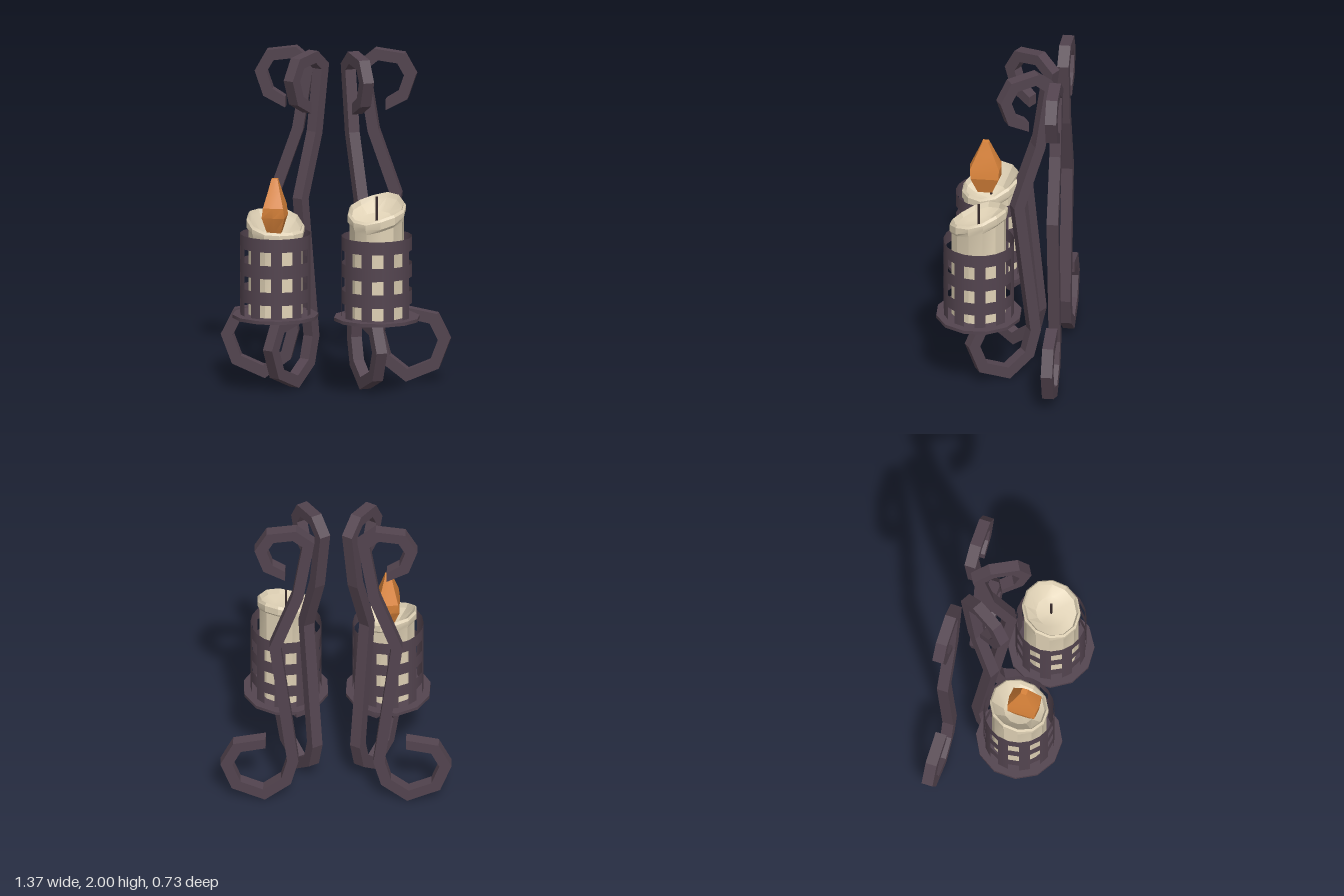
import * as THREE from 'three';
import { toCreasedNormals } from 'three/addons/utils/BufferGeometryUtils.js';

const mat = (name, color, extra = {}) => {
  const m = new THREE.MeshStandardMaterial({ color, ...extra });
  m.name = name;
  return m;
};

// Skin between closed rings of points, each ring counter-clockwise from above
function loft(rings) {
  const n = rings[0].length, index = [];
  for (let r = 0; r < rings.length - 1; r++) {
    for (let i = 0; i < n; i++) {
      const a = r * n + i, b = r * n + (i + 1) % n;
      index.push(a, b, b + n, a, b + n, a + n);
    }
  }
  const g = new THREE.BufferGeometry();
  g.setAttribute('position', new THREE.Float32BufferAttribute(rings.flat(2), 3));
  g.setIndex(index);
  return toCreasedNormals(g, 0.4);
}

// Flat bar bent along a polyline: mitred outline, then extruded
function scrollGeometry() {
  const pts = [
    [0.17, 1.668], [0.272, 1.725], [0.315, 1.85], [0.26, 1.948], [0.115, 1.968], [0.033, 1.9],
    [0.095, 1.51], [0.23, 1.13], [0.125, 0.29], [0.165, 0.14],
    [0.295, 0.04], [0.46, 0.11], [0.517, 0.26], [0.455, 0.385], [0.285, 0.418],
  ].map(p => new THREE.Vector2(...p));
  const half = 0.033, last = pts.length - 1, left = [], right = [];
  const normal = i => {
    const d = pts[i + 1].clone().sub(pts[i]).normalize();
    return new THREE.Vector2(-d.y, d.x);
  };
  pts.forEach((p, i) => {
    let off;
    if (i === 0) off = new THREE.Vector2(0, half);
    else if (i === last) off = new THREE.Vector2(0, -half);
    else {
      const a = normal(i - 1), m = a.clone().add(normal(i)).normalize();
      off = m.multiplyScalar(half / m.dot(a));
    }
    left.push(p.clone().add(off));
    right.push(p.clone().sub(off));
  });
  const g = new THREE.ExtrudeGeometry(new THREE.Shape([...left, ...right.reverse()]),
    { depth: 0.068, bevelEnabled: false });
  return g.translate(0, 0, -0.034);
}

// Wax column with an uneven rim and a melted bowl
function candleGeometry(rim) {
  const n = 12;
  const ring = (r, yOf) => Array.from({ length: n }, (_, i) => {
    const a = (i + 0.5) / n * Math.PI * 2;
    return [r * Math.sin(a), yOf(a), r * Math.cos(a)];
  });
  return loft([
    ring(0.162, () => 0.475),
    ring(0.162, a => rim(a) - 0.075),
    ring(0.174, a => rim(a) - 0.05 - 0.012 * Math.sin(3 * a)),
    ring(0.174, a => rim(a) - 0.015),
    ring(0.163, rim),
    ring(0.15, a => rim(a) - 0.03),
    ring(0.09, a => 0.35 * rim(a) + 0.65 * rim(Math.PI / 2) - 0.07),
    ring(0, () => rim(Math.PI / 2) - 0.09),
  ]);
}

// Faceted flame, boxy in plan
function flameGeometry() {
  const plan = [[0, 1.05], [1, 0.95], [1, -0.95], [0, -1.05], [-1, -0.95], [-1, 0.95]];
  const levels = [
    [0.97, 0, 0], [0.97, 0.04, 0.045], [1.07, 0.068, 0.088], [1.13, 0.06, 0.09],
    [1.22, 0.036, 0.05], [1.295, 0.018, 0.018], [1.295, 0, 0],
  ];
  return loft(levels.map(([y, rx, rz]) => plan.map(([x, z]) => [x * rx, y, z * rz])));
}

export function createModel() {
  const model = new THREE.Group();
  model.name = 'candleSconcePair';
  const iron = mat('darkIron', 0x53444f);
  const sheet = mat('piercedIron', 0x53444f, { side: THREE.DoubleSide });
  sheet.color = iron.color;
  const wax = mat('wax', 0xe0d2b6);
  const flameMat = mat('flameOrange', 0xd9833a);
  const wickMat = mat('wick', 0x35282a);

  const add = (parent, name, geo, material, x = 0, y = 0, z = 0, ry = 0) => {
    const m = new THREE.Mesh(geo, material);
    m.name = name;
    m.position.set(x, y, z);
    m.rotation.y = ry;
    parent.add(m);
    return m;
  };

  const scroll = scrollGeometry();
  const deg = Math.PI / 180;

  for (const side of [-1, 1]) {
    const sconce = new THREE.Group();
    sconce.name = side > 0 ? 'leftSconce' : 'rightSconce';
    model.add(sconce);

    // Wrought scrolls: one along the wall, one reaching forward
    add(sconce, 'wallScroll', scroll, iron, side * 0.13, 0, -0.335, side > 0 ? 0 : Math.PI);
    add(sconce, 'frontScroll', scroll, iron, side * 0.065, 0, -0.3, (side > 0 ? -60 : -120) * deg);

    const holder = new THREE.Group();
    holder.name = 'candleHolder';
    holder.position.set(side * 0.302, 0, 0.113);
    sconce.add(holder);

    // Drip plate
    add(holder, 'plate', new THREE.CylinderGeometry(0.256, 0.256, 0.02, 12), iron,
      0, 0.465, 0, (15 + side * 2) * deg);

    // Pierced cup: three solid bands with posts between the windows
    for (const y of [0.6, 0.76, 0.92]) {
      add(holder, 'cupBand', new THREE.CylinderGeometry(0.21, 0.21, 0.08, 20, 1, true), sheet,
        0, y, 0, side * 9 * deg + 9 * deg);
      for (let k = 0; k < 10; k++) {
        const post = new THREE.CylinderGeometry(0.21, 0.21, 0.085, 1, 1, true, 0, 18 * deg);
        add(holder, 'cupPost', post, sheet, 0, y - 0.08, 0, (side * 9 + 9 + 36 * k) * deg);
      }
    }

    // Candle and wick
    const rim = side > 0
      ? a => 1.13 - 0.055 * Math.cos(a) + 0.018 * Math.sin(a) + 0.008 * Math.sin(3 * a)
      : a => 1.035 - 0.045 * Math.cos(a) - 0.03 * Math.sin(a) + 0.008 * Math.sin(3 * a);
    add(holder, 'candle', candleGeometry(rim), wax);
    add(holder, 'wick', new THREE.BoxGeometry(0.013, 0.16, 0.013), wickMat,
      0, side > 0 ? 1.115 : 1.02, 0);

    // Only one candle is lit
    if (side < 0) add(holder, 'flame', flameGeometry(), flameMat, 0, 0, 0.032);
  }
  return model;
}
